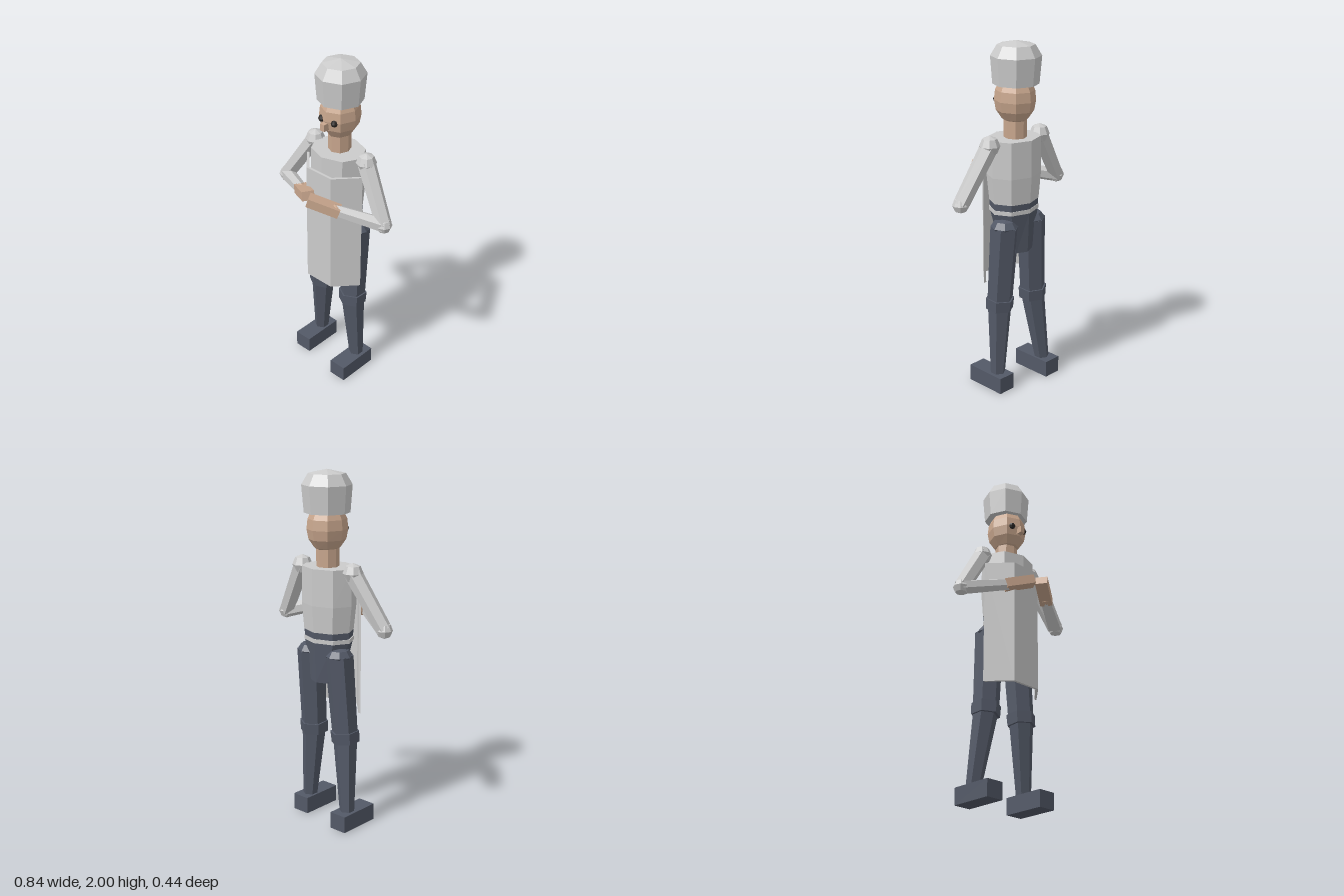
import * as THREE from 'three';

const paint = (color) => new THREE.MeshStandardMaterial({ color, flatShading: true, side: THREE.DoubleSide });
const cloth = paint(0xcccccc);
const skin = paint(0xc9a78e);
const trouser = paint(0x535967);
const dark = paint(0x2a2624);
const V = (x, y, z) => new THREE.Vector3(x, y, z);

// Closed body through rings [y, radiusX, radiusZ, centreZ], bottom to top
function loftGeometry(rings, sides, cx) {
  const full = [[rings[0][0], 0, 0, rings[0][3]], ...rings];
  const last = rings[rings.length - 1];
  if (last[1] > 0) full.push([last[0], 0, 0, last[3]]);
  const pos = [], index = [];
  for (const [y, rx, rz, cz] of full) {
    for (let k = 0; k < sides; k++) {
      const a = (k / sides) * Math.PI * 2;
      pos.push(cx + rx * Math.sin(a), y, cz + rz * Math.cos(a));
    }
  }
  for (let r = 0; r < full.length - 1; r++) {
    for (let k = 0; k < sides; k++) {
      const a = r * sides + k, b = r * sides + ((k + 1) % sides);
      if (full[r][1] > 0) index.push(a, b, b + sides);
      if (full[r + 1][1] > 0) index.push(a, b + sides, a + sides);
      else index.push(a, b, b + sides);
    }
  }
  const geo = new THREE.BufferGeometry();
  geo.setAttribute('position', new THREE.Float32BufferAttribute(pos, 3));
  geo.setIndex(index);
  geo.computeVertexNormals();
  return geo;
}

export function createModel() {
  const model = new THREE.Group();
  model.name = 'cook';

  function add(name, geo, mat, at, parent = model) {
    const m = new THREE.Mesh(geo, mat);
    m.name = name;
    if (at) m.position.copy(at);
    parent.add(m);
    return m;
  }
  const loft = (name, mat, rings, cx = 0.005) => add(name, loftGeometry(rings, 8, cx), mat);
  const ball = (name, at, r, mat, parent) => add(name, new THREE.SphereGeometry(r, 8, 4), mat, at, parent);

  // Tapered limb from a to b
  function limb(name, a, b, ra, rb, mat, parent) {
    const dir = b.clone().sub(a);
    const m = add(name, new THREE.CylinderGeometry(rb, ra, dir.length(), 6), mat, a.clone().lerp(b, 0.5), parent);
    m.quaternion.setFromUnitVectors(V(0, 1, 0), dir.normalize());
    return m;
  }

  // Trunk
  loft('pelvis', trouser, [[0.83, 0.09, 0.09, -0.09], [1.06, 0.148, 0.118, -0.072], [1.15, 0.15, 0.123, -0.072]]);
  loft('shirt', cloth, [[1.12, 0.15, 0.124, -0.072], [1.27, 0.165, 0.136, -0.07], [1.475, 0.163, 0.134, -0.07]]);
  loft('apronString', cloth, [[1.06, 0.153, 0.122, -0.072], [1.083, 0.153, 0.122, -0.072]]);

  // Apron: three thin panels wrapped round the front
  const outer = [[-0.203, -0.04], [-0.088, 0.086], [0.094, 0.086], [0.208, -0.04]];
  const inner = [[0.192, -0.04], [0.086, 0.071], [-0.08, 0.071], [-0.187, -0.04]];
  const outline = new THREE.Shape([...outer, ...inner].map(([x, z]) => new THREE.Vector2(x, -z)));
  const apron = new THREE.ExtrudeGeometry(outline, { depth: 0.725, bevelEnabled: false });
  apron.rotateX(-Math.PI / 2);
  add('apron', apron, cloth, V(0, 0.66, 0));

  // Neck, head and face
  loft('neck', skin, [[1.46, 0.062, 0.064, -0.08], [1.6, 0.062, 0.064, -0.08]]);
  loft('head', skin, [
    [1.562, 0.045, 0.05, -0.08], [1.578, 0.068, 0.075, -0.08], [1.625, 0.1, 0.107, -0.08],
    [1.68, 0.11, 0.117, -0.08], [1.735, 0.104, 0.111, -0.08], [1.8, 0.075, 0.08, -0.08]], 0.007);
  for (const x of [-0.039, 0.052]) ball('eye', V(x, 1.677, 0.014), 0.02, dark);
  add('nose', new THREE.BoxGeometry(0.03, 0.04, 0.045), skin, V(0.006, 1.653, 0.036));

  // Hat with a puffed crown
  loft('hat', cloth, [
    [1.768, 0.126, 0.126, -0.084], [1.918, 0.138, 0.138, -0.085],
    [1.978, 0.102, 0.102, -0.085], [2, 0, 0, -0.085]]);

  // Arms, bent in front of the apron
  const arms = [
    { side: 'right', shoulder: V(-0.183, 1.46, -0.085), elbow: V(-0.372, 1.17, -0.045),
      wrist: V(-0.13, 1.228, 0.085), tip: V(-0.008, 1.268, 0.155) },
    { side: 'left', shoulder: V(0.198, 1.46, -0.08), elbow: V(0.372, 1.16, -0.035),
      wrist: V(0.145, 1.222, 0.105), tip: V(0.022, 1.272, 0.188) },
  ];
  for (const { side, shoulder, elbow, wrist, tip } of arms) {
    const arm = new THREE.Group();
    arm.name = side + 'Arm';
    model.add(arm);
    ball('shoulder', shoulder, 0.057, cloth, arm);
    limb('upperArm', shoulder, elbow, 0.051, 0.045, cloth, arm);
    ball('elbow', elbow, 0.046, cloth, arm);
    limb('forearm', elbow, wrist, 0.043, 0.033, cloth, arm);
    ball('wrist', wrist, 0.034, skin, arm);
    const dir = tip.clone().sub(wrist);
    const start = wrist.clone().addScaledVector(dir, -0.16);
    const hand = add('hand', new THREE.BoxGeometry(0.07, 0.052, start.distanceTo(tip)), skin, start.clone().lerp(tip, 0.5), arm);
    hand.lookAt(tip);
  }

  // Legs, one foot slightly ahead
  const legs = [
    { side: 'right', hip: V(-0.1, 0.99, -0.105), knee: V(-0.133, 0.525, -0.09), ankle: V(-0.181, 0.09, -0.127), foot: V(-0.184, 0.048, -0.085) },
    { side: 'left', hip: V(0.11, 0.99, -0.105), knee: V(0.12, 0.525, -0.075), ankle: V(0.147, 0.09, -0.085), foot: V(0.15, 0.048, -0.038) },
  ];
  for (const { side, hip, knee, ankle, foot } of legs) {
    const leg = new THREE.Group();
    leg.name = side + 'Leg';
    model.add(leg);
    ball('hip', hip, 0.08, trouser, leg).scale.y = 0.6;
    limb('thigh', knee, hip, 0.073, 0.082, trouser, leg);
    const up = hip.clone().sub(knee).normalize();
    limb('knee', knee.clone().addScaledVector(up, -0.035), knee.clone().addScaledVector(up, 0.03), 0.08, 0.083, trouser, leg);
    limb('shin', ankle, knee, 0.042, 0.07, trouser, leg);
    add('foot', new THREE.BoxGeometry(0.107, 0.096, 0.25), trouser, foot, leg);
  }
  return model;
}
